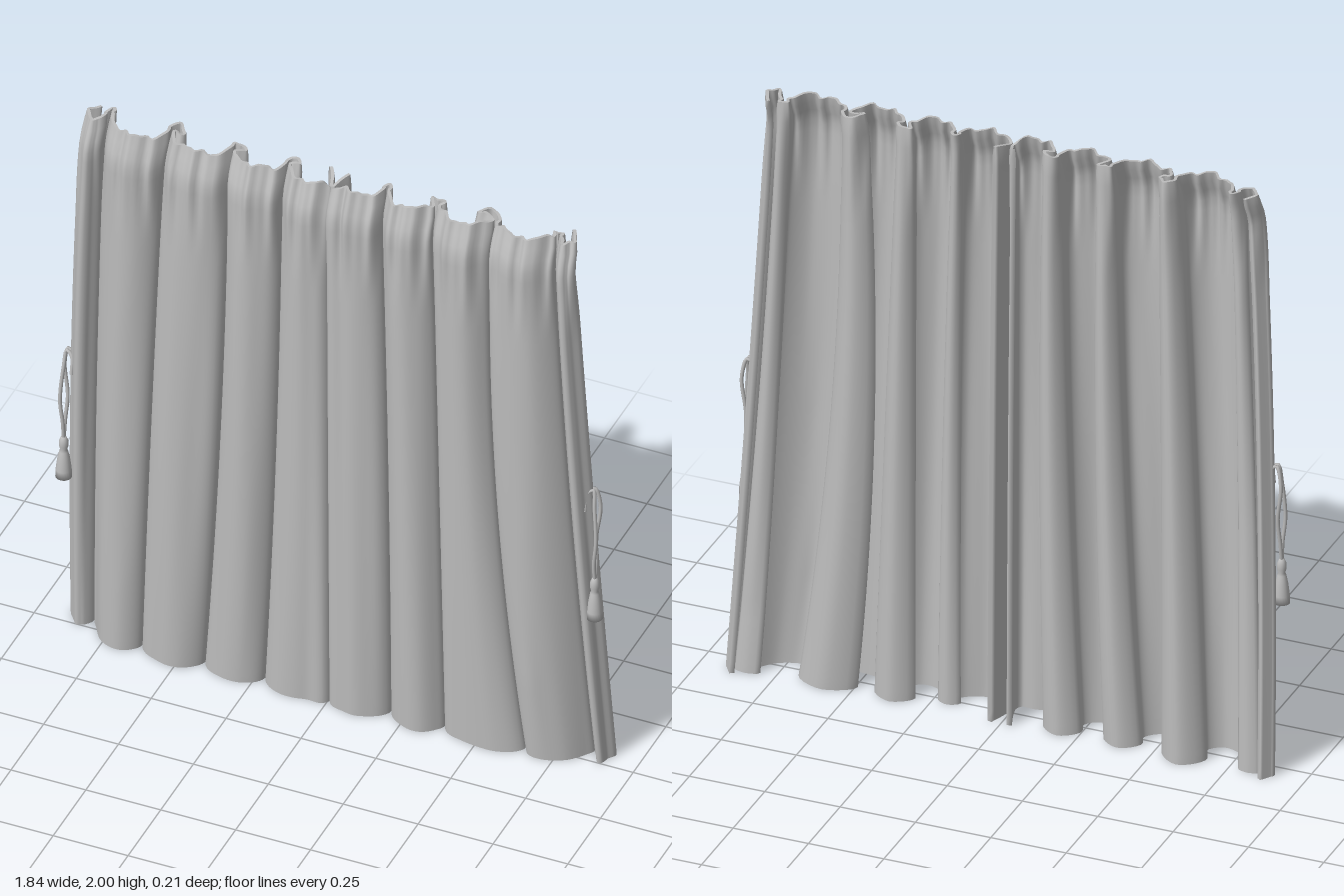
import * as THREE from 'three';
import { mergeGeometries } from 'three/addons/utils/BufferGeometryUtils.js';

const HALF_THICK = 0.008;
const ROWS = 44;
const STEPS = 5; // samples between neighbouring profile points

// Valleys between folds: x at top, middle and bottom; back loop from a to b, reaching depth d
const LEFT_VALLEYS = [ // on the -x side
  { x: [-0.755, -0.79, -0.815], a: -0.03, b: 0.03, d: -0.035 },
  { x: [-0.545, -0.59, -0.63], a: -0.03, b: 0.1, d: -0.098 },
  { x: [-0.335, -0.36, -0.42], a: -0.02, b: 0.09, d: -0.07 },
  { x: [-0.155, -0.175, -0.22], a: -0.02, b: 0.09, d: -0.07 },
];
const RIGHT_VALLEYS = [
  { x: [0.175, 0.195, 0.2], a: -0.03, b: 0.03, d: -0.02 },
  { x: [0.345, 0.365, 0.38], a: -0.07, b: 0.05, d: -0.07 },
  { x: [0.54, 0.555, 0.65], a: -0.15, b: 0.03, d: -0.08 },
  { x: [0.745, 0.79, 0.85], a: -0.04, b: 0.03, d: -0.065 },
];

// Quadratic through values at y = 2, 1, 0
const along = ([top, mid, bot], y) =>
  top * y * (y - 1) / 2 + mid * y * (2 - y) + bot * (y - 1) * (y - 2) / 2;

// Front face of the folds, falling back toward the outer edges and rounding in at the top
function frontZ(x, y) {
  const edge = Math.max(0, Math.abs(x) - 0.68);
  const roll = 0.035 * Math.pow(THREE.MathUtils.smoothstep(y, 1.86, 2), 2);
  return along([0.088, 0.083, 0.068], y) - edge * (0.4 - 0.12 * y) - roll;
}

// Profile of one panel at height y, running toward +x
function profile(valleys, startX, endX, y) {
  const s = y / 2;
  const pts = [];
  const add = (x, z) => pts.push(new THREE.Vector3(x, 0, z));
  const x0 = along(startX, y), x1 = along(endX, y);
  const shrink = 1 - 0.6 * s;

  // Broad rounded front between two x positions
  const bulge = (from, to) => [0.25, 0.5, 0.75].forEach((t) => {
    const x = from + (to - from) * t;
    const soft = 0.005 * Math.sin(x * 23 + y * 1.7);
    add(x, frontZ(x, y) - (t === 0.5 ? 0 : 0.007) + soft);
  });
  // Curled hem at a side edge of the panel
  const hem = (x, dir, inner) => {
    const f = frontZ(x, y);
    const back = inner ? -0.075 * (1 - 0.5 * s) : f - 0.075;
    const p = [[x + dir * 0.03, back], [x + dir * 0.008, (f + back) / 2 - 0.005],
      [x + dir * 0.002, f - 0.035], [x + dir * 0.018, f - 0.012]];
    if (dir < 0) p.reverse();
    p.forEach(([px, pz]) => add(px, pz));
  };

  hem(x0, 1, Math.abs(x0) < 0.1);
  let prev = x0 + 0.018;
  for (const v of valleys) {
    const L = along(v.x, y);
    const f = frontZ(L, y);
    const neck = f - 0.055;
    const d = Math.min(v.d * (1 - 0.5 * s), neck - 0.02);
    const a = v.a * shrink, b = v.b * shrink;
    bulge(prev, L - 0.025);
    add(L - 0.025, f - 0.028);
    add(L - 0.009, neck);
    add(L + a, (d + neck) / 2);
    add(L + (a + b) / 2, d);
    add(L + b, (d + neck) / 2);
    add(L + 0.009, neck);
    add(L + 0.025, f - 0.028);
    prev = L + 0.025;
  }
  bulge(prev, x1 - 0.018);
  hem(x1, -1, Math.abs(x1) < 0.1);
  return new THREE.CatmullRomCurve3(pts, false, 'centripetal');
}

// Indexed grid of rows of points; du x dv faces outward
function gridGeometry(rows, closed) {
  const n = rows[0].length, index = [];
  for (let j = 0; j < rows.length - 1; j++) {
    for (let i = 0; i < (closed ? n : n - 1); i++) {
      const k = (i + 1) % n;
      const p = j * n + i, q = j * n + k, r = p + n, t = q + n;
      index.push(p, q, t, p, t, r);
    }
  }
  const geo = new THREE.BufferGeometry();
  geo.setAttribute('position', new THREE.Float32BufferAttribute(rows.flat().flatMap((p) => [p.x, p.y, p.z]), 3));
  geo.setIndex(index);
  geo.computeVertexNormals();
  return geo;
}

// Cloth panel with thickness, closed at top and bottom
function panelGeometry(valleys, startX, endX) {
  const fronts = [], backs = [];
  for (let j = 0; j <= ROWS; j++) {
    const t = j / ROWS;
    const y = 2 * (t + 0.12 * Math.sin(Math.PI * 2 * t) / Math.PI * -1);
    const curve = profile(valleys, startX, endX, y);
    const count = (curve.points.length - 1) * STEPS;
    const front = [], back = [];
    const gather = THREE.MathUtils.smoothstep(y, 1.6, 1.95);
    for (let i = 0; i <= count; i++) {
      const p = curve.getPoint(i / count);
      const tan = curve.getTangent(i / count);
      // Small gathers under the heading and a slightly uneven top edge
      const ripple = gather * (0.007 * Math.sin(p.x * 95) + 0.004 * Math.sin(p.x * 171 + 1));
      const dip = gather * (0.005 + 0.005 * Math.sin(p.x * 61) + 0.02 * Math.exp(-((p.x / 0.018) ** 2)));
      const h = HALF_THICK * (j === ROWS ? 0.6 : 1);
      const py = y - dip;
      front.push(new THREE.Vector3(p.x - tan.z * h, py, p.z + ripple + tan.x * h));
      back.push(new THREE.Vector3(p.x + tan.z * h, py, p.z + ripple - tan.x * h));
    }
    fronts.push(front);
    backs.push(back);
  }
  const loops = fronts.map((f, j) => [...f, ...backs[j].slice().reverse()]);
  return mergeGeometries([
    gridGeometry(loops, true),
    gridGeometry([fronts[ROWS], backs[ROWS]], false),
    gridGeometry([backs[0], fronts[0]], false),
  ]);
}

// Hanging cord loop with a tassel; side is +1 or -1
function makeTassel(side, x, material) {
  const group = new THREE.Group();
  const mesh = (name, geo) => {
    const m = new THREE.Mesh(geo, material);
    m.name = name;
    group.add(m);
    return m;
  };
  for (const dz of [-1, 1]) {
    const path = new THREE.CatmullRomCurve3([
      [-0.03, 0.98, 0.012 + dz * 0.012], [-0.026, 1.04, 0.004 + dz * 0.008], [-0.008, 1.055, dz * 0.006],
      [0.004 - dz * 0.004, 0.99, 0.002 + dz * 0.014], [0.002 + dz * 0.006, 0.87, 0.008 + dz * 0.016],
      [0, 0.78, 0.012 + dz * 0.009], [0, 0.71, 0.014],
    ].map(([px, py, pz]) => new THREE.Vector3(side * px, py, pz)));
    mesh('tasselCord', new THREE.TubeGeometry(path, 40, 0.006, 8));
  }
  const bell = [[0, 0.572], [0.026, 0.572], [0.025, 0.6], [0.02, 0.64], [0.014, 0.668],
    [0.011, 0.676], [0.015, 0.69], [0.014, 0.71], [0.008, 0.724], [0, 0.728]];
  mesh('tasselBell', new THREE.LatheGeometry(bell.map(([r, y]) => new THREE.Vector2(r, y)), 20))
    .position.z = 0.014;
  group.position.x = x;
  return group;
}

export function createModel() {
  const model = new THREE.Group();
  model.name = 'curtains';
  const cloth = new THREE.MeshStandardMaterial({ color: 0xbcbcbc });
  cloth.name = 'greyCloth';
  cloth.side = THREE.DoubleSide;

  // Two panels meeting in the middle
  const right = new THREE.Mesh(panelGeometry(LEFT_VALLEYS, [-0.825, -0.873, -0.893], [0.003, 0.005, 0.002]), cloth);
  right.name = 'rightPanel';
  const left = new THREE.Mesh(panelGeometry(RIGHT_VALLEYS, [0.007, 0.009, 0.008], [0.812, 0.862, 0.912]), cloth);
  left.name = 'leftPanel';
  model.add(right, left);

  // Tassels at the outer edges
  const rightTassel = makeTassel(-1, -0.895, cloth);
  rightTassel.name = 'rightTassel';
  const leftTassel = makeTassel(1, 0.878, cloth);
  leftTassel.name = 'leftTassel';
  model.add(rightTassel, leftTassel);
  return model;
}
